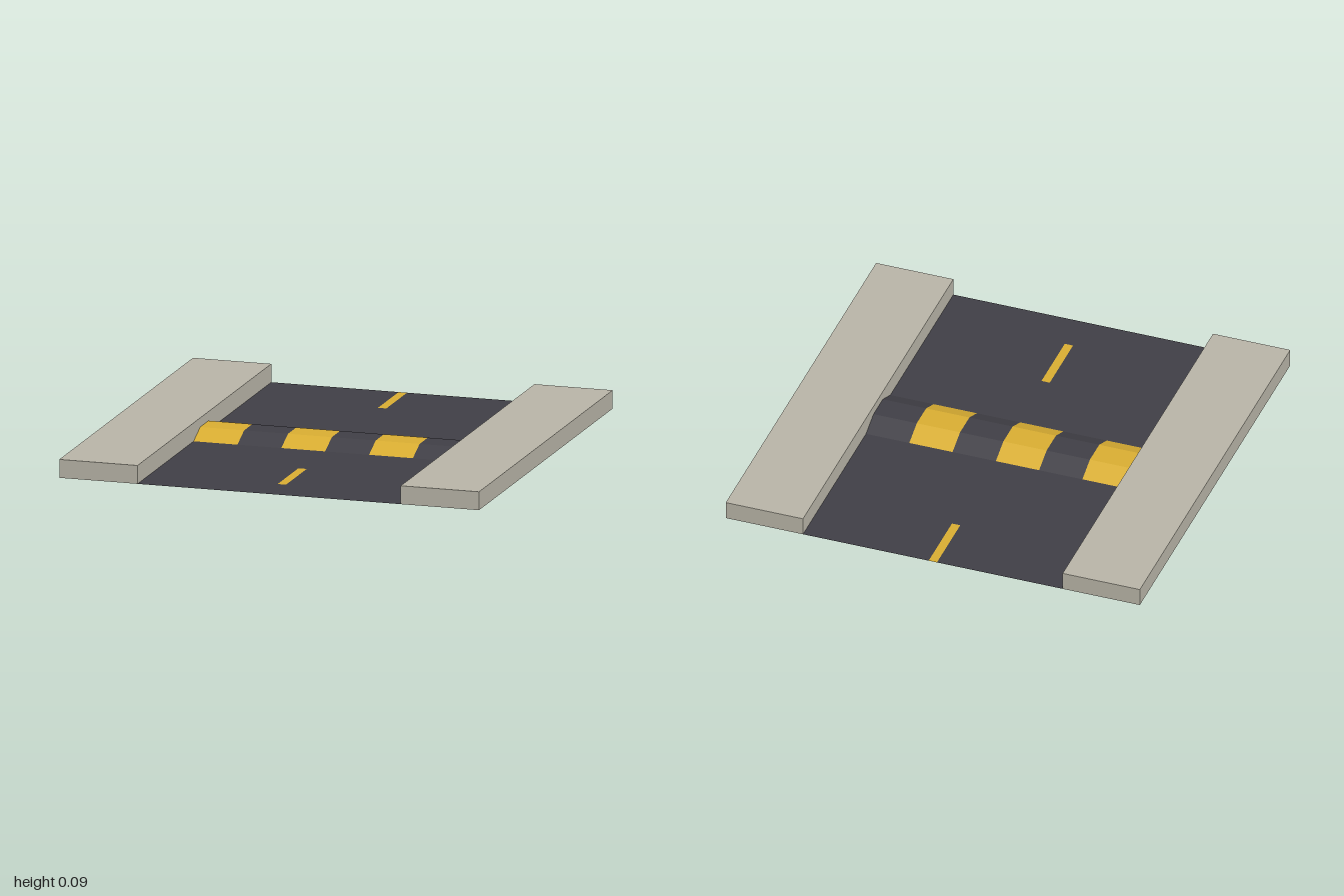
import * as THREE from 'three';

const mat = (name, color) => {
  const m = new THREE.MeshStandardMaterial({ color, side: THREE.DoubleSide, flatShading: true });
  m.name = name;
  return m;
};

export function createModel() {
  const asphalt = mat('asphalt', 0x403f46);
  const yellow = mat('road yellow', 0xd9ae32);
  const concrete = mat('concrete', 0xb8b4a7);
  const group = new THREE.Group();
  const W = 0.627, B = 0.162, T = 0.062, H = 0.043, D = 0.02;

  const add = (name, geometry, material) => {
    const mesh = new THREE.Mesh(geometry, material);
    mesh.name = name;
    group.add(mesh);
    return mesh;
  };

  // Strip across x0..x1 following a [z, y] profile that runs from back to front
  const strip = (name, x0, x1, profile, material) => {
    const pos = [], idx = [];
    profile.forEach(([z, y]) => pos.push(x0, y, z, x1, y, z));
    for (let i = 0; i < profile.length - 1; i++) {
      const a = i * 2;
      idx.push(a, a + 2, a + 1, a + 1, a + 2, a + 3);
    }
    const g = new THREE.BufferGeometry();
    g.setAttribute('position', new THREE.Float32BufferAttribute(pos, 3));
    g.setIndex(idx);
    const flat = g.toNonIndexed();
    flat.computeVertexNormals();
    return add(name, flat, material);
  };
  const flat = (name, x0, x1, z0, z1, material) => strip(name, x0, x1, [[z0, 0], [z1, 0]], material);

  // Road surface on both sides of the bump, with the centre dashes set into it
  for (const [z0, d0, d1, z1] of [[-1, -1, -0.69, -B], [B, 0.5, 0.81, 1]]) {
    flat('roadRight', -W, -D, z0, z1, asphalt);
    flat('roadLeft', D, W, z0, z1, asphalt);
    if (d0 > z0) flat('roadCentre', -D, D, z0, d0, asphalt);
    flat('roadCentre', -D, D, d1, z1, asphalt);
    flat('centreDash', -D, D, d0, d1, yellow);
  }

  // Speed bump: six alternating segments, hollow underneath
  const bump = [[-B, 0], [-T, H], [T, H], [B, 0]];
  const step = W / 3;
  for (let i = 0; i < 6; i++) {
    strip(i % 2 ? 'bumpDarkSegment' : 'bumpYellowSegment',
      -W + i * step, -W + (i + 1) * step, bump, i % 2 ? asphalt : yellow);
  }

  // Sidewalks: boxes without a bottom face
  for (const side of [-1, 1]) {
    const g = new THREE.BoxGeometry(1 - W, 0.086, 2);
    const index = Array.from(g.index.array);
    index.splice(18, 6);
    g.setIndex(index);
    g.clearGroups();
    const walk = add(side > 0 ? 'sidewalkLeft' : 'sidewalkRight', g, concrete);
    walk.position.set(side * (1 + W) / 2, 0.043, 0);
  }
  return group;
}
